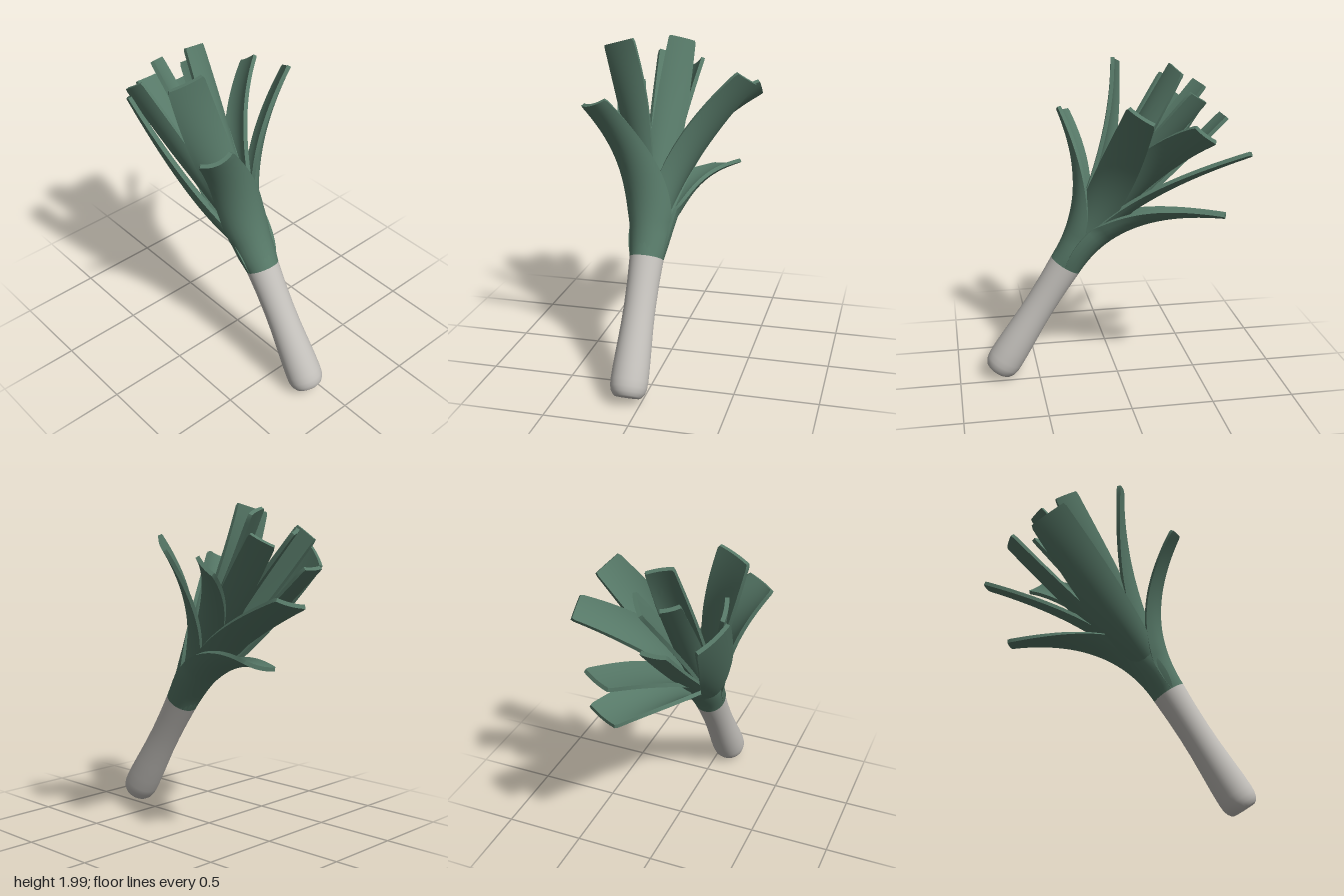
import * as THREE from 'three';
import { toCreasedNormals } from 'three/addons/utils/BufferGeometryUtils.js';

const V = (x, y, z) => new THREE.Vector3(x, y, z);
const BASE = V(-0.076, 0.041, 0.757);            // foot of the leaning stalk
const AXIS = V(0, 0.843, -0.537).normalize();    // direction the stalk grows in
const SEAM = 0.82;                               // length of the pale part

// A curved blade: rolled around the stalk at its base, opening towards a cut tip.
// a, b: tip corners; start: distance along the stalk; reach: how far it follows the stalk;
// bow: how far it swings out; hold: share of the length that stays rolled;
// flare, bulge: extra width low down and midway
function leafGeometry({ a, b, start = 0.9, reach = 0.45, bow = 0, radius = 0.06, baseCurl = 1.2,
  tipCurl = 0.18, bulge = 0.03, flare = 0, hold = 0, facing, thick = 0.024 }) {
  const A = V(...a), B = V(...b);
  const tip = A.clone().add(B).multiplyScalar(0.5);
  const root = BASE.clone().addScaledVector(AXIS, start);

  // outward direction at the base
  const out = facing ? V(...facing) : tip.clone().sub(root);
  out.addScaledVector(AXIS, -out.dot(AXIS)).normalize();
  root.addScaledVector(out, radius);
  const bend = root.clone().addScaledVector(AXIS, reach).addScaledVector(out, bow);

  const side0 = AXIS.clone().cross(out);
  const side1 = B.clone().sub(A);
  const halfTip = (side1.length() / 2) * tipCurl / Math.sin(tipCurl);
  side1.normalize();
  if (side1.dot(side0) < 0) side1.negate();

  // move the spine outwards so that the cut corners stay in place
  const tipNormal = side1.clone().cross(tip.clone().sub(bend)).normalize();
  tip.addScaledVector(tipNormal, (halfTip / tipCurl) * (1 - Math.cos(tipCurl)));
  const path = new THREE.QuadraticBezierCurve3(root, bend, tip);

  const rows = 28, cols = 12, ring = 2 * (cols + 1);
  const pos = [], index = [];
  for (let i = 0; i <= rows; i++) {
    const t = i === rows ? 1 : (i / (rows - 1)) * 0.985;
    const k = t * t * (3 - 2 * t);
    const centre = path.getPoint(t);
    const side = side0.clone().lerp(side1, k).normalize();
    const normal = side.clone().cross(path.getTangent(t)).normalize();
    const open = Math.max(0, (t - hold) / (1 - hold));
    const curl = THREE.MathUtils.lerp(baseCurl, tipCurl, Math.sqrt(open) * 0.5 + open * 0.5);
    let half = THREE.MathUtils.lerp(radius * baseCurl, halfTip, t)
      + bulge * Math.sin(Math.PI * t) + flare * Math.sin(Math.PI * Math.sqrt(t)) ** 2;
    if (i === rows) half *= 0.94;
    const r = half / curl;
    const add = (j, rad) => {
      const f = curl * (2 * j / cols - 1);
      const p = centre.clone().addScaledVector(normal, rad * Math.cos(f) - r)
        .addScaledVector(side, rad * Math.sin(f));
      pos.push(p.x, p.y, p.z);
    };
    for (let j = 0; j <= cols; j++) add(j, r);
    for (let j = cols; j >= 0; j--) add(j, r - thick);
  }
  const quad = (p, q, s, u) => index.push(p, q, s, p, s, u);
  for (let i = 0; i < rows; i++) {
    for (let j = 0; j < ring; j++) {
      const n = (j + 1) % ring;
      quad(i * ring + j, i * ring + n, (i + 1) * ring + n, (i + 1) * ring + j);
    }
  }
  // cut tip
  const last = rows * ring;
  for (let j = 0; j < cols; j++) {
    quad(last + j, last + j + 1, last + ring - 2 - j, last + ring - 1 - j);
  }
  const geo = new THREE.BufferGeometry();
  geo.setAttribute('position', new THREE.Float32BufferAttribute(pos, 3));
  geo.setIndex(index);
  return toCreasedNormals(geo, 0.8);
}

export function createModel() {
  const model = new THREE.Group();
  model.name = 'leek';
  const pale = new THREE.MeshStandardMaterial({ color: 0xc3c0bb });
  pale.name = 'pale stalk';
  const green = new THREE.MeshStandardMaterial({ color: 0x567867 });
  green.name = 'leaf green';

  // stalk and the green core above it, both turned around the leaning axis
  const turned = (name, profile, material) => {
    const geo = new THREE.LatheGeometry(profile.map(([r, y]) => new THREE.Vector2(r, y)), 40);
    const mesh = new THREE.Mesh(geo, material);
    mesh.name = name;
    mesh.position.copy(BASE);
    mesh.rotation.x = Math.atan2(AXIS.z, AXIS.y);
    model.add(mesh);
  };
  turned('stalk', [[0, 0.008], [0.06, 0.004], [0.072, 0], [0.085, 0.008], [0.1, 0.03], [0.108, 0.06],
    [0.11, 0.1], [0.108, 0.18], [0.102, 0.3], [0.096, 0.42], [0.094, 0.54], [0.096, 0.68],
    [0.102, SEAM]], pale);
  turned('core', [[0.102, SEAM], [0.104, 0.9], [0.1, 0.98], [0.06, 1.08], [0, 1.14]], green);

  // two outer leaves wrap the stalk
  const wrap = { start: SEAM, radius: 0.102, baseCurl: 1.62 };
  const leaves = {
    frontOuterLeaf: { ...wrap, a: [-0.49, 1.62, 0.24], b: [-0.31, 1.68, 0.32], facing: [-0.1, 0, 1],
      reach: 0.48, tipCurl: 0.6, bulge: 0.01, flare: 0.045, hold: 0.2 },
    backOuterLeaf: { ...wrap, a: [0.33, 1.12, -0.58], b: [0.13, 1.06, -0.65], facing: [0.1, 0, -1],
      reach: 0.47, tipCurl: 0.25, bulge: 0.03, flare: 0.05, hold: 0.3 },
    // inner leaves fan out from the core
    leftLeaf: { a: [0.4, 1.81, 0.02], b: [0.49, 1.72, -0.12], reach: 0.52, radius: 0.08, baseCurl: 1.35 },
    leftBackLeaf: { a: [0.47, 1.7, -0.35], b: [0.47, 1.6, -0.48], reach: 0.7, radius: 0.07 },
    lowBackLeaf: { a: [0.08, 1.42, -0.82], b: [0.26, 1.47, -0.75], radius: 0.08, bulge: 0.035 },
    frontTallLeaf: { a: [-0.24, 1.99, 0], b: [-0.44, 1.93, -0.07], facing: [-1, 0, 0.9], reach: 0.62,
      bow: 0.07, radius: 0.07, bulge: 0.025 },
    middleTallLeaf: { a: [-0.1, 1.97, -0.33], b: [0.06, 1.93, -0.37], reach: 0.75, radius: 0.08, bulge: 0.015 },
    middleLeftLeaf: { a: [0.11, 1.82, -0.42], b: [0.02, 1.74, -0.54], radius: 0.05, bulge: 0.02 },
    middleBackLeaf: { a: [-0.22, 1.84, -0.52], b: [-0.11, 1.81, -0.57], radius: 0.05, bulge: 0.02 },
    backLeaf: { a: [-0.21, 1.62, -0.7], b: [-0.05, 1.62, -0.7], start: 0.95, reach: 0.3, bow: 0.13,
      radius: 0.06, bulge: 0.015 },
    rightBackLeaf: { a: [-0.34, 1.62, -0.6], b: [-0.46, 1.74, -0.42], start: 0.95, reach: 0.3, bow: 0.2,
      radius: 0.07, bulge: 0.025 },
    rightInnerLeaf: { a: [-0.42, 1.86, -0.34], b: [-0.44, 1.77, -0.47], start: 0.95, reach: 0.4, bow: 0.12,
      radius: 0.05, bulge: 0.02 },
  };
  for (const [name, spec] of Object.entries(leaves)) {
    const mesh = new THREE.Mesh(leafGeometry(spec), green);
    mesh.name = name;
    model.add(mesh);
  }
  return model;
}
